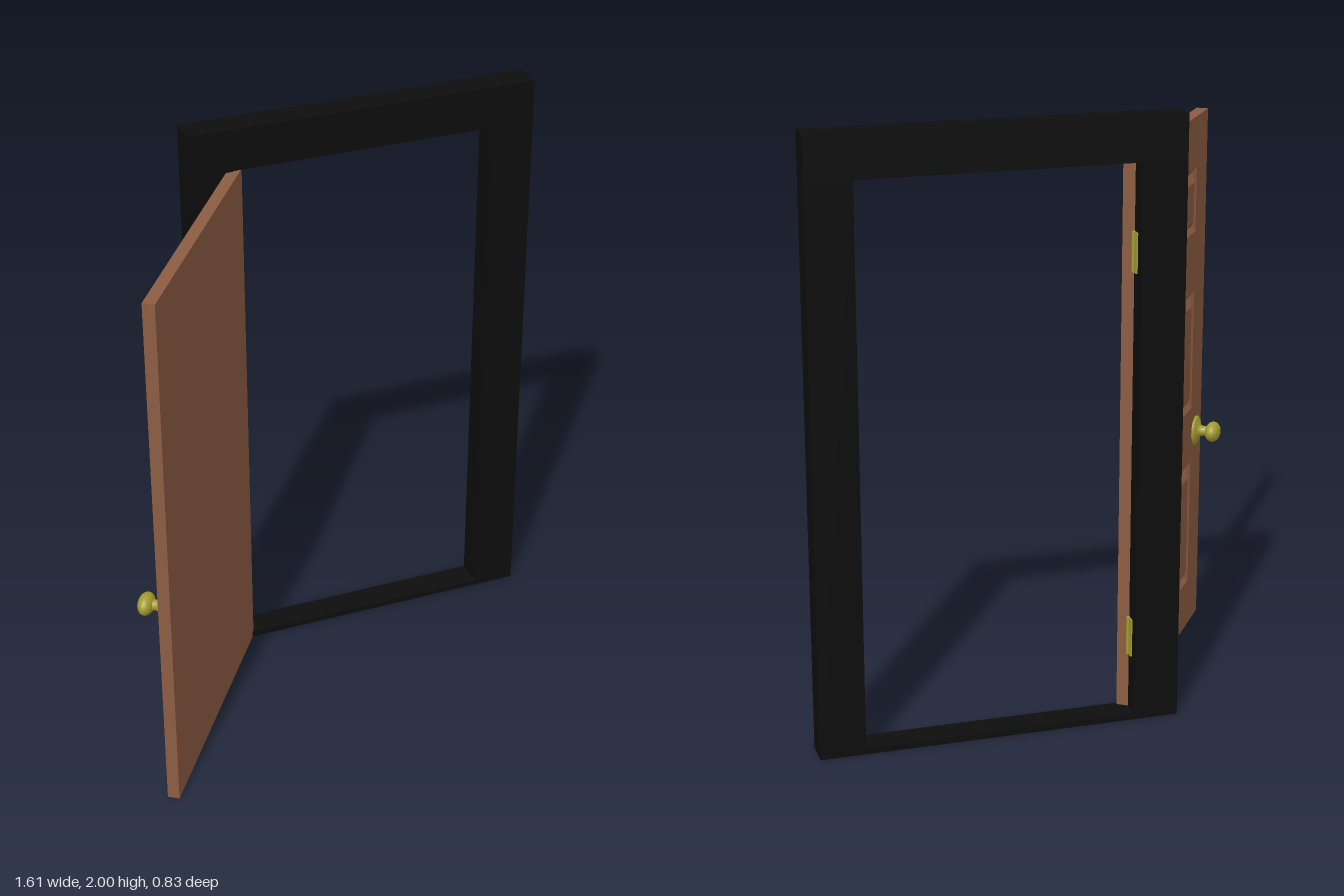
import * as THREE from 'three';

const black = new THREE.MeshStandardMaterial({ name: 'black paint', color: 0x0d0d0d });
const wood = new THREE.MeshStandardMaterial({ name: 'brown wood', color: 0x8c5c42 });
const woodFlat = wood;
const brass = new THREE.MeshStandardMaterial({ name: 'brass', color: 0xa39c2e });

function add(parent, name, geometry, material) {
  const mesh = new THREE.Mesh(geometry, material);
  mesh.name = name;
  parent.add(mesh);
  return mesh;
}

// Box given by its minimum and maximum corners
function box(parent, name, material, [x0, y0, z0], [x1, y1, z1]) {
  const mesh = add(parent, name, new THREE.BoxGeometry(x1 - x0, y1 - y0, z1 - z0), material);
  mesh.position.set((x0 + x1) / 2, (y0 + y1) / 2, (z0 + z1) / 2);
  return mesh;
}

// Counter-clockwise corners of a rectangle inset by d, at height z
function corners(x0, x1, y0, y1, d, z) {
  return [[x0 + d, y0 + d, z], [x1 - d, y0 + d, z], [x1 - d, y1 - d, z], [x0 + d, y1 - d, z]];
}

// Moulded panel: slopes down into a groove, then up to a raised field
function panelGeometry(x0, x1, y0, y1) {
  const rings = [[0, 0], [0.018, -0.012], [0.045, 0.004]].map(([d, z]) => corners(x0, x1, y0, y1, d, z));
  const points = [];
  const quad = (a, b, c, d) => points.push(...a, ...b, ...c, ...a, ...c, ...d);
  for (let r = 0; r < rings.length - 1; r++) {
    for (let i = 0; i < 4; i++) {
      const j = (i + 1) % 4;
      quad(rings[r][i], rings[r][j], rings[r + 1][j], rings[r + 1][i]);
    }
  }
  quad(...rings[rings.length - 1]);
  const geometry = new THREE.BufferGeometry();
  geometry.setAttribute('position', new THREE.Float32BufferAttribute(points, 3));
  geometry.computeVertexNormals();
  return geometry;
}

function rectangle(Type, x0, x1, y0, y1) {
  return new Type(corners(x0, x1, y0, y1, 0, 0).map(([x, y]) => new THREE.Vector2(x, y)));
}

export function createModel() {
  const model = new THREE.Group();
  model.name = 'openDoor';

  // Door frame
  const frame = new THREE.Group();
  frame.name = 'doorFrame';
  model.add(frame);
  const back = -0.417, front = -0.32, left = -0.245, right = 0.655, top = 1.857;
  box(frame, 'hingeJamb', black, [-0.393, 0, back], [left, top, front]);
  box(frame, 'latchJamb', black, [right, 0, back], [0.803, top, front]);
  box(frame, 'lintel', black, [-0.393, top, back], [0.803, 2, front]);
  box(frame, 'sill', black, [left, 0, back], [right, 0.02, front]);

  // Door leaf, swung open about its hinge edge; local +z is the panelled side
  const door = new THREE.Group();
  door.name = 'door';
  door.position.set(left, 0, -0.353);
  door.rotation.y = Math.atan2(-0.82, -0.573);
  model.add(door);
  const width = 0.908, height = 1.855;
  box(door, 'doorCore', wood, [0, 0, -0.04], [width, height, -0.015]);

  const face = rectangle(THREE.Shape, 0, width, 0, height);
  for (const [x0, x1] of [[0.14, 0.37], [0.54, 0.77]]) {
    for (const [y0, y1] of [[0.17, 0.62], [0.82, 1.245], [1.455, 1.68]]) {
      face.holes.push(rectangle(THREE.Path, x0, x1, y0, y1));
      add(door, 'raisedPanel', panelGeometry(x0, x1, y0, y1), woodFlat);
    }
  }
  const faceGeometry = new THREE.ExtrudeGeometry(face, { depth: 0.015, bevelEnabled: false });
  add(door, 'doorFace', faceGeometry, wood).position.z = -0.015;

  // Door knob: round plate, flared stem and oval grip
  const knob = new THREE.Group();
  knob.name = 'doorKnob';
  knob.position.set(0.828, 0.72, 0);
  door.add(knob);
  const profile = [[0.052, 0], [0.052, 0.006], [0.044, 0.012], [0.024, 0.015], [0.017, 0.03], [0.02, 0.055]];
  const stem = new THREE.LatheGeometry(profile.map(([r, h]) => new THREE.Vector2(r, h)), 24);
  add(knob, 'knobPlate', stem, brass).rotation.x = Math.PI / 2;
  const grip = add(knob, 'knobGrip', new THREE.SphereGeometry(1, 24, 16), brass);
  grip.scale.set(0.045, 0.035, 0.027);
  grip.position.z = 0.065;

  // Hinges on the inner side of the jamb
  for (const y of [0.275, 1.565]) {
    box(model, 'hingeLeaf', brass, [left, y - 0.065, -0.385], [left + 0.005, y + 0.065, -0.345]);
    const barrel = add(model, 'hingeBarrel', new THREE.CylinderGeometry(0.007, 0.007, 0.13, 12), brass);
    barrel.position.set(left + 0.004, y, -0.357);
  }
  return model;
}
